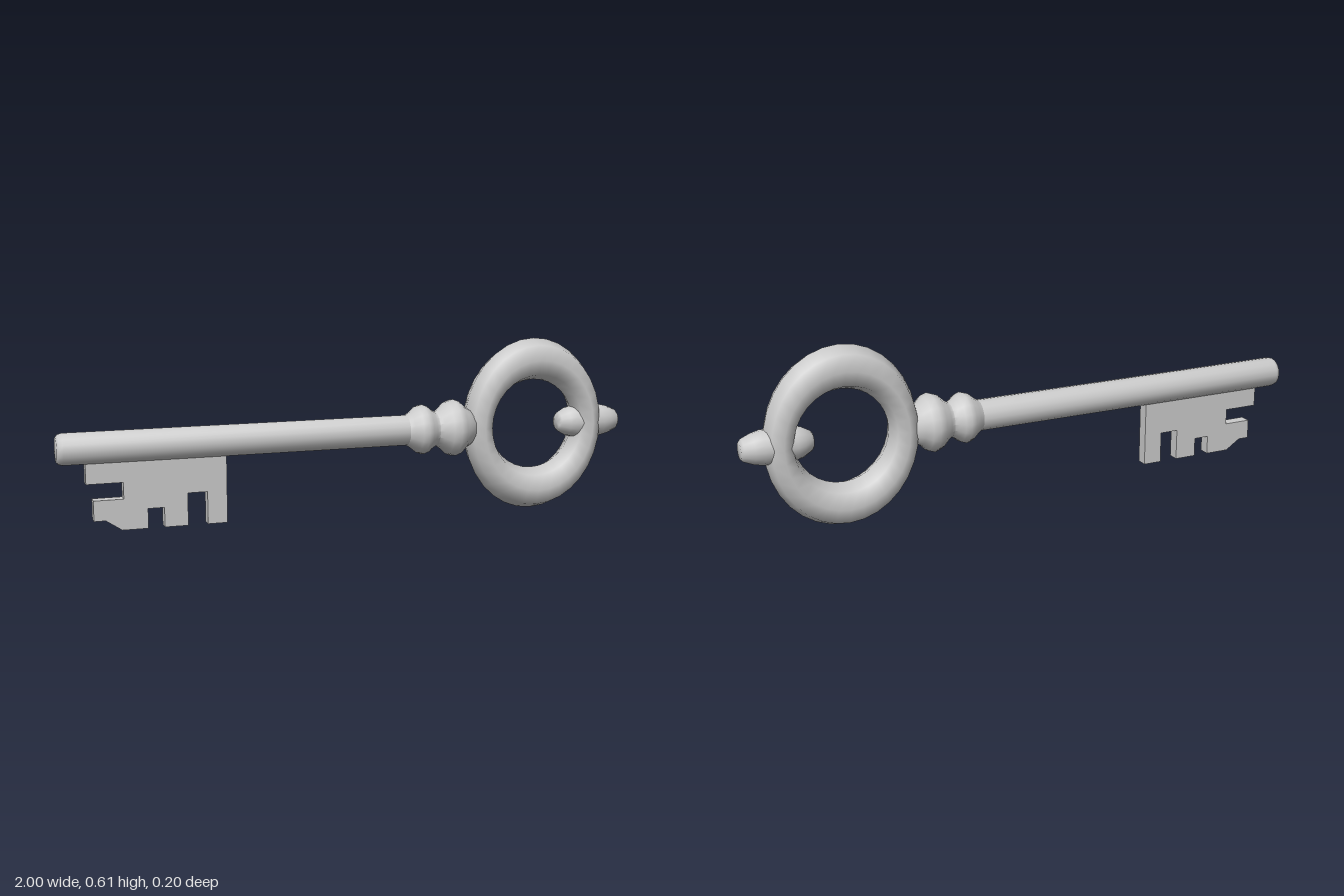
import * as THREE from 'three';
import { toCreasedNormals } from 'three/addons/utils/BufferGeometryUtils.js';

const AXIS_Y = 0.306;

export function createModel() {
  const key = new THREE.Group();
  key.name = 'key';
  const metal = new THREE.MeshStandardMaterial({ color: 0xcccccc });

  function add(name, geometry) {
    const mesh = new THREE.Mesh(geometry, metal);
    mesh.name = name;
    key.add(mesh);
    return mesh;
  }

  // Turned part along the x axis; profile is [x, radius] pairs
  function turned(name, profile, crease = 0.7) {
    const points = profile.map(([x, r]) => new THREE.Vector2(r, x));
    const geometry = new THREE.LatheGeometry(points, 16);
    geometry.rotateZ(-Math.PI / 2);
    add(name, toCreasedNormals(geometry, crease)).position.y = AXIS_Y;
  }

  // Round shaft with a softened tip
  turned('shaft', [[-1, 0], [-1, 0.04], [-0.993, 0.049], [-0.98, 0.053], [0.22, 0.053], [0.22, 0]]);

  // Double-bulged collar between shaft and bow
  turned('collar', [
    [0.19, 0], [0.19, 0.053], [0.205, 0.062], [0.228, 0.081], [0.247, 0.087], [0.266, 0.08],
    [0.283, 0.066], [0.297, 0.06], [0.311, 0.067], [0.337, 0.091], [0.362, 0.1], [0.385, 0.092],
    [0.405, 0.072], [0.43, 0.06], [0.45, 0],
  ], 0.9);

  // Oval bow: a round hole, thicker at top and bottom than at the sides
  const bow = new THREE.TorusGeometry(0.2315, 0.0735, 8, 32);
  bow.scale(1, 1, 1);
  const p = bow.attributes.position;
  for (let i = 0; i < p.count; i++) {
    const x = p.getX(i), y = p.getY(i);
    const radius = Math.hypot(x, y);
    const across = (radius - 0.2315) / 0.0735;
    p.setX(i, (x / radius) * (0.2085 + 0.05 * across));
  }
  // Smooth normals from the reshaped section
  const n = bow.attributes.normal;
  for (let i = 0; i < n.count; i++) {
    const u = (i % 33) / 32 * Math.PI * 2;
    const v = Math.floor(i / 33) / 8 * Math.PI * 2;
    const a = 0.2085 + 0.05 * Math.cos(v), b = 0.2315 + 0.0735 * Math.cos(v);
    const du = new THREE.Vector3(-a * Math.sin(u), b * Math.cos(u), 0);
    const dv = new THREE.Vector3(
      -0.05 * Math.sin(v) * Math.cos(u), -0.0735 * Math.sin(v) * Math.sin(u), 0.0735 * Math.cos(v));
    du.cross(dv).normalize();
    n.setXYZ(i, du.x, du.y, du.z);
  }
  add('bow', bow).position.set(0.667, AXIS_Y, 0);

  // Knob passing through the far side of the bow
  turned('knob', [
    [0.765, 0], [0.765, 0.026], [0.772, 0.034], [0.8, 0.05], [0.825, 0.057], [0.93, 0.057],
    [0.96, 0.05], [0.992, 0.037], [1, 0.028], [1, 0],
  ], 0.9);

  // Flat notched bit under the shaft
  const outline = [
    [-0.91, 0.3], [-0.91, 0.19], [-0.79, 0.19], [-0.79, 0.135], [-0.888, 0.135], [-0.888, 0.067],
    [-0.85, 0.067], [-0.797, 0.032], [-0.712, 0.032], [-0.712, 0.098], [-0.658, 0.098],
    [-0.658, 0.032], [-0.58, 0.032], [-0.58, 0.141], [-0.514, 0.141], [-0.514, 0.032],
    [-0.448, 0.032], [-0.448, 0.3],
  ].map(([x, y]) => new THREE.Vector2(x, y));
  const bit = new THREE.ExtrudeGeometry(new THREE.Shape(outline), { depth: 0.04, bevelEnabled: false });
  bit.translate(0, 0, -0.02);
  add('bit', bit);

  return key;
}
